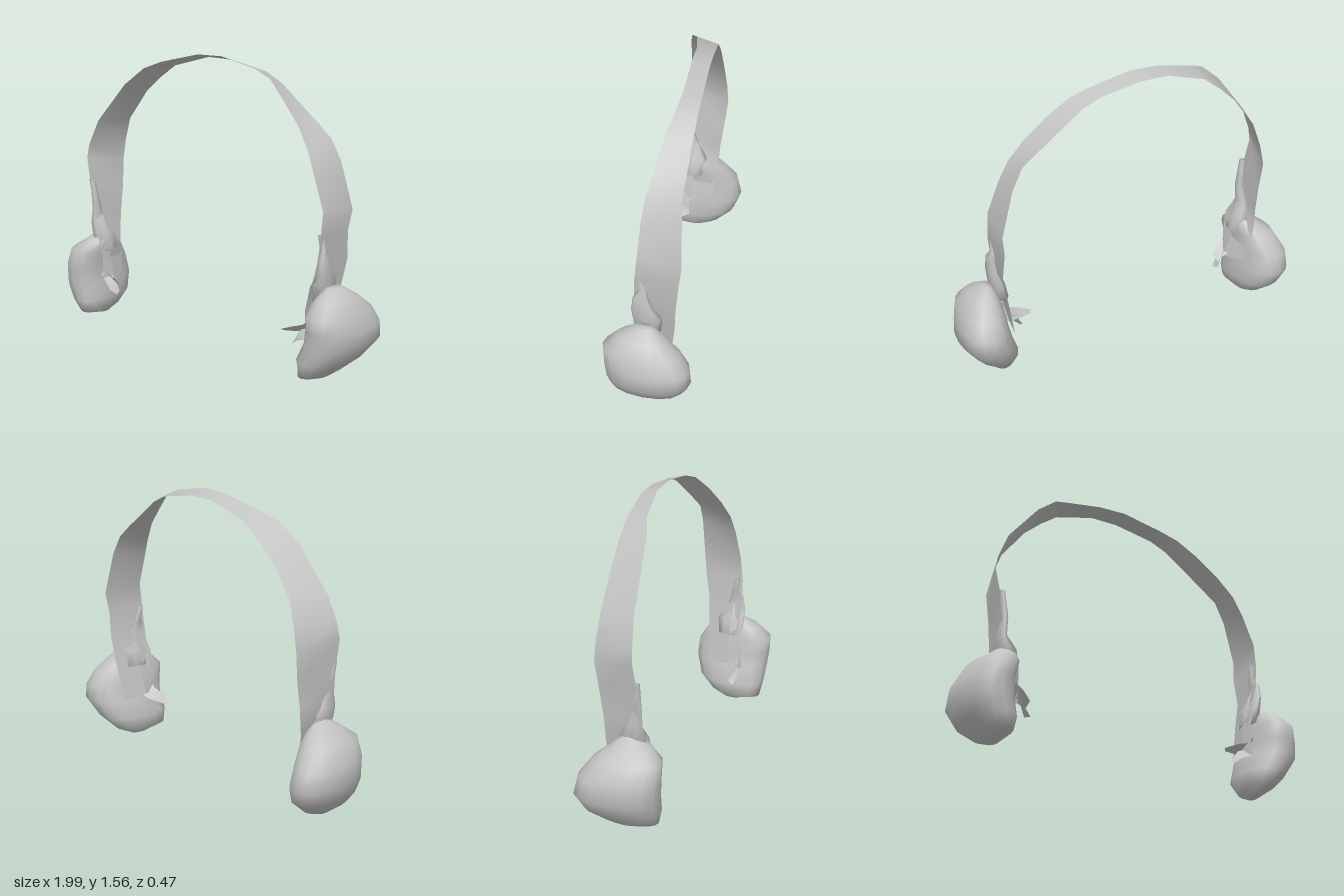
import * as THREE from 'three';

const grey = new THREE.MeshStandardMaterial({ color: 0xc2c2c2, side: THREE.DoubleSide });
grey.name = 'plain grey';

function build(name, positions, index) {
  const g = new THREE.BufferGeometry();
  g.setAttribute('position', new THREE.Float32BufferAttribute(positions, 3));
  g.setIndex(index);
  g.computeVertexNormals();
  const mesh = new THREE.Mesh(g, grey);
  mesh.name = name;
  return mesh;
}

// Thin sheet between a front edge and a back edge: [xf, yf, zf, xb, yb, zb]
function ribbon(name, stations) {
  const index = [];
  for (let i = 0; i < stations.length - 1; i++) {
    const a = i * 2;
    index.push(a, a + 2, a + 1, a + 1, a + 2, a + 3);
  }
  return build(name, stations.flat(), index);
}

// Closed lump from level rings: [y, xMin, xMax, zBack, zFront]; skew leans x along z
function loft(name, rings, skew = 0, n = 16) {
  const pos = [], index = [];
  const first = rings[0], last = rings[rings.length - 1];
  const point = ([y, x0, x1, z0, z1]) =>
    [y, (x0 + x1) / 2, (x0 + x1) / 2, (z0 + z1) / 2, (z0 + z1) / 2];
  const all = [point(first), ...rings, point(last)];
  const soft = (v) => Math.sign(v) * Math.pow(Math.abs(v), 0.88);
  all.forEach(([y, x0, x1, z0, z1], i) => {
    for (let j = 0; j < n; j++) {
      const a = (j / n) * Math.PI * 2;
      const z = (z0 + z1) / 2 + soft(Math.sin(a)) * (z1 - z0) / 2;
      const x = (x0 + x1) / 2 + soft(Math.cos(a)) * (x1 - x0) / 2 + skew * z;
      pos.push(x, y, z);
      if (i < all.length - 1) {
        const p = i * n + j, q = i * n + (j + 1) % n;
        index.push(p, p + n, q, q, p + n, q + n);
      }
    }
  });
  return build(name, pos, index);
}

export function createModel() {
  const model = new THREE.Group();
  model.name = 'headphones';

  // Headband: one twisted sheet, running on down inside both cups
  model.add(ribbon('headband', [
    [-0.70, 0.22, 0.07, -0.74, 0.24, -0.08],
    [-0.74, 0.45, 0.08, -0.78, 0.44, -0.11],
    [-0.81, 0.58, 0.08, -0.78, 0.58, -0.12],
    [-0.82, 0.75, 0.08, -0.78, 0.72, -0.14],
    [-0.855, 0.92, 0.07, -0.79, 0.88, -0.16],
    [-0.84, 1.00, 0.065, -0.765, 1.00, -0.155],
    [-0.78, 1.14, 0.05, -0.72, 1.13, -0.145],
    [-0.60, 1.36, 0.025, -0.59, 1.30, -0.145],
    [-0.48, 1.46, 0.0, -0.49, 1.39, -0.15],
    [-0.39, 1.50, -0.04, -0.39, 1.465, -0.155],
    [-0.16, 1.56, -0.075, -0.16, 1.535, -0.165],
    [0.0, 1.567, -0.075, 0.0, 1.537, -0.165],
    [0.23, 1.525, -0.072, 0.23, 1.50, -0.165],
    [0.34, 1.485, -0.055, 0.33, 1.455, -0.16],
    [0.45, 1.395, -0.02, 0.44, 1.375, -0.155],
    [0.57, 1.28, 0.01, 0.57, 1.28, -0.15],
    [0.65, 1.17, 0.04, 0.66, 1.21, -0.145],
    [0.70, 1.06, 0.055, 0.72, 1.10, -0.15],
    [0.765, 0.89, 0.065, 0.79, 0.86, -0.16],
    [0.765, 0.75, 0.08, 0.775, 0.75, -0.145],
    [0.75, 0.62, 0.085, 0.785, 0.60, -0.13],
    [0.71, 0.48, 0.08, 0.755, 0.45, -0.12],
    [0.68, 0.25, 0.07, 0.71, 0.23, -0.09],
  ]));

  // Ear cups
  model.add(loft('leftEarCup', [
    [0.005, 0.73, 0.78, -0.02, 0.07],
    [0.04, 0.70, 0.83, -0.10, 0.20],
    [0.12, 0.67, 0.92, -0.18, 0.215],
    [0.22, 0.71, 0.995, -0.225, 0.22],
    [0.30, 0.73, 0.99, -0.22, 0.23],
    [0.38, 0.74, 0.97, -0.17, 0.235],
    [0.45, 0.76, 0.92, -0.09, 0.16],
    [0.50, 0.79, 0.85, -0.02, 0.07],
  ], -0.1));
  model.add(loft('rightEarCup', [
    [0.01, -0.84, -0.78, -0.03, 0.06],
    [0.04, -0.88, -0.75, -0.11, 0.18],
    [0.11, -0.95, -0.725, -0.20, 0.20],
    [0.20, -0.995, -0.735, -0.24, 0.205],
    [0.30, -0.99, -0.745, -0.215, 0.21],
    [0.40, -0.945, -0.73, -0.14, 0.205],
    [0.45, -0.87, -0.73, -0.07, 0.14],
    [0.50, -0.81, -0.75, -0.01, 0.06],
  ], 0.07));

  // Crumpled hinges between band and cups
  model.add(loft('leftHinge', [
    [0.42, 0.70, 0.78, -0.05, 0.09],
    [0.51, 0.72, 0.79, -0.06, 0.10],
    [0.57, 0.75, 0.79, -0.02, 0.10],
    [0.64, 0.75, 0.785, 0.01, 0.09],
    [0.68, 0.74, 0.77, 0.02, 0.06],
    [0.76, 0.735, 0.765, 0.04, 0.07],
  ], 0, 7));
  model.add(loft('rightHinge', [
    [0.40, -0.79, -0.71, -0.03, 0.09],
    [0.49, -0.81, -0.74, -0.04, 0.11],
    [0.56, -0.82, -0.78, 0.0, 0.10],
    [0.66, -0.81, -0.775, 0.04, 0.09],
    [0.80, -0.83, -0.80, 0.06, 0.09],
  ], 0, 7));

  // Ragged folded flaps on the inner faces
  const flaps = {
    leftUpperFlap: [
      [0.53, 0.225, 0.09, 0.54, 0.215, 0.07], [0.61, 0.26, 0.10, 0.61, 0.22, 0.05],
      [0.67, 0.28, 0.09, 0.66, 0.23, 0.03], [0.73, 0.33, 0.08, 0.72, 0.25, 0.02]],
    leftLowerFlap: [
      [0.595, 0.155, 0.08, 0.60, 0.18, 0.05], [0.64, 0.19, 0.10, 0.63, 0.23, 0.06],
      [0.70, 0.21, 0.10, 0.69, 0.28, 0.03]],
    leftInnerFold: [
      [0.70, 0.22, 0.10, 0.67, 0.22, 0.04], [0.69, 0.36, 0.10, 0.70, 0.36, 0.02],
      [0.72, 0.50, 0.10, 0.71, 0.50, 0.03], [0.77, 0.58, 0.09, 0.75, 0.60, 0.03]],
    rightUpperFlap: [
      [-0.64, 0.24, 0.08, -0.65, 0.20, 0.04], [-0.69, 0.28, 0.10, -0.68, 0.22, 0.05],
      [-0.74, 0.32, 0.09, -0.73, 0.25, 0.03]],
    rightLowerFlap: [
      [-0.635, 0.155, 0.08, -0.65, 0.165, 0.04], [-0.67, 0.18, 0.10, -0.68, 0.23, 0.05],
      [-0.74, 0.26, 0.09, -0.74, 0.31, 0.03]],
    rightInnerFold: [
      [-0.72, 0.24, 0.10, -0.69, 0.25, 0.04], [-0.72, 0.38, 0.10, -0.73, 0.36, 0.03],
      [-0.74, 0.48, 0.11, -0.73, 0.48, 0.04], [-0.79, 0.56, 0.09, -0.77, 0.60, 0.04]],
  };
  for (const [name, stations] of Object.entries(flaps)) model.add(ribbon(name, stations));

  return model;
}
